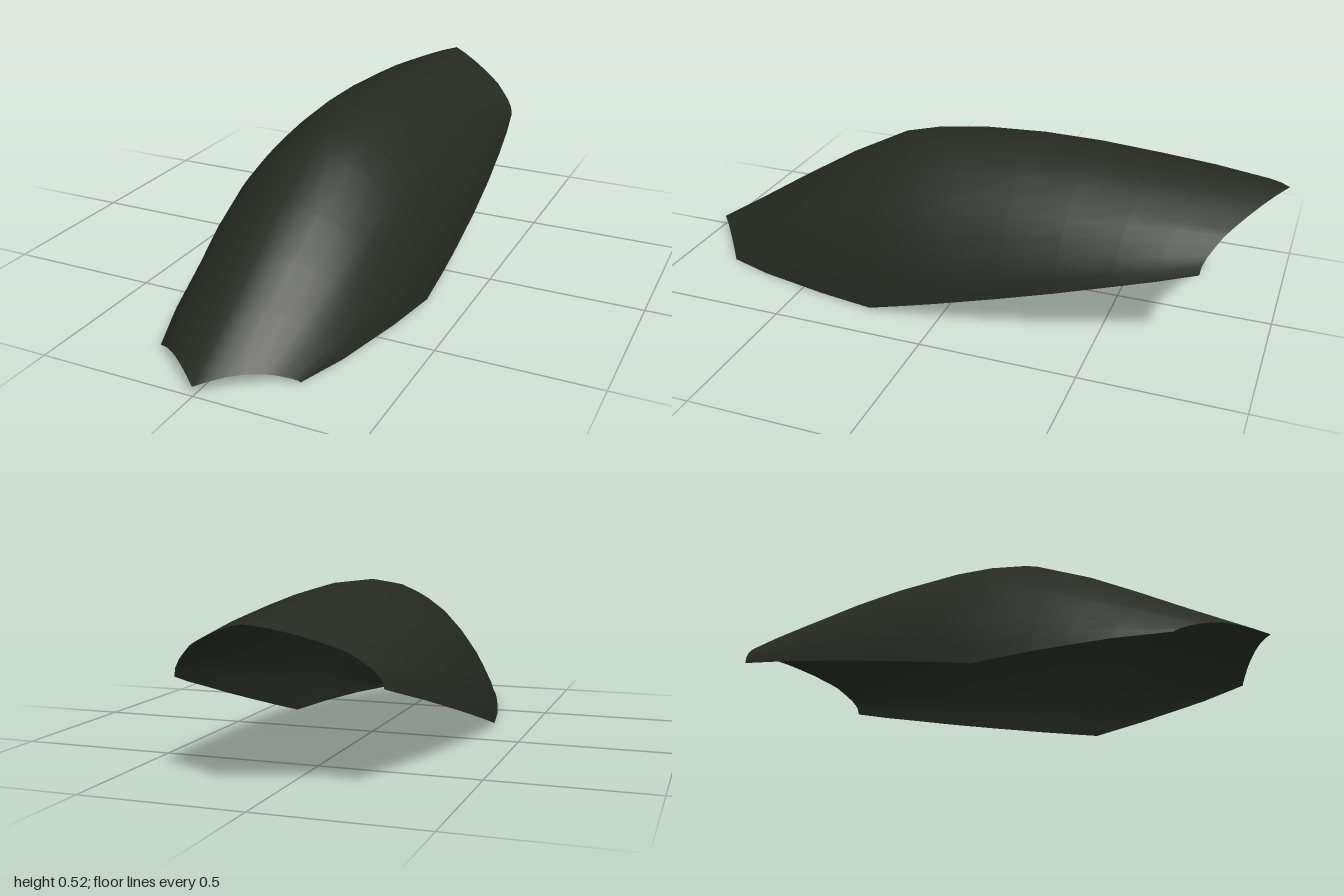
import * as THREE from 'three';

// Half of the arch profile: [fraction of half width, fraction of drop]
const PROFILE = [
  [0, 0], [0.16, 0.017], [0.32, 0.07], [0.49, 0.165], [0.66, 0.305],
  [0.75, 0.4], [0.83, 0.53], [0.92, 0.69], [0.98, 0.85], [1, 1],
];

// Ribs from front tip to rear tip: spine z, spine y, edge x, edge y, edge z, bulge
const RIBS = [
  [1, 0.03, 0.23, 0, 0.815, 0.022],
  [0.8, 0.155, 0.285, 0.003, 0.66, 0.015],
  [0.64, 0.258, 0.315, 0.005, 0.53, 0.011],
  [0.48, 0.355, 0.34, 0.006, 0.42, 0.008],
  [0.28, 0.462, 0.37, 0.007, 0.23, 0.003],
  [0.15, 0.497, 0.373, 0.041, 0.11, 0],
  [0, 0.517, 0.373, 0.072, 0, 0],
  [-0.2, 0.525, 0.368, 0.129, -0.2, 0],
  [-0.4, 0.52, 0.357, 0.18, -0.38, 0],
  [-0.62, 0.508, 0.341, 0.229, -0.55, -0.004],
  [-0.8, 0.497, 0.325, 0.265, -0.68, -0.008],
  [-1, 0.48, 0.305, 0.3, -0.8, -0.015],
];

// Thin arched sheet lofted through the ribs, mirrored across x = 0
function shellGeometry() {
  const half = PROFILE.length - 1;
  const columns = 2 * half + 1;
  const positions = [];
  const indices = [];
  RIBS.forEach(([z0, y0, x1, y1, z1, bulge], r) => {
    for (let c = 0; c < columns; c++) {
      const [s, drop] = PROFILE[Math.abs(c - half)];
      positions.push(
        Math.sign(c - half) * s * x1,
        y0 + (y1 - y0) * drop + bulge * Math.sin(Math.PI * s),
        z0 + (z1 - z0) * s,
      );
      if (r < RIBS.length - 1 && c < columns - 1) {
        const a = r * columns + c;
        const d = a + columns;
        indices.push(a, a + 1, d, a + 1, d + 1, d);
      }
    }
  });
  const geometry = new THREE.BufferGeometry();
  geometry.setAttribute('position', new THREE.Float32BufferAttribute(positions, 3));
  geometry.setIndex(indices);
  geometry.computeVertexNormals();
  return geometry;
}

export function createModel() {
  const group = new THREE.Group();
  const material = new THREE.MeshStandardMaterial({ color: 0x262a22, side: THREE.DoubleSide });
  const shell = new THREE.Mesh(shellGeometry(), material);
  shell.name = 'canopyShell';
  group.add(shell);
  return group;
}
